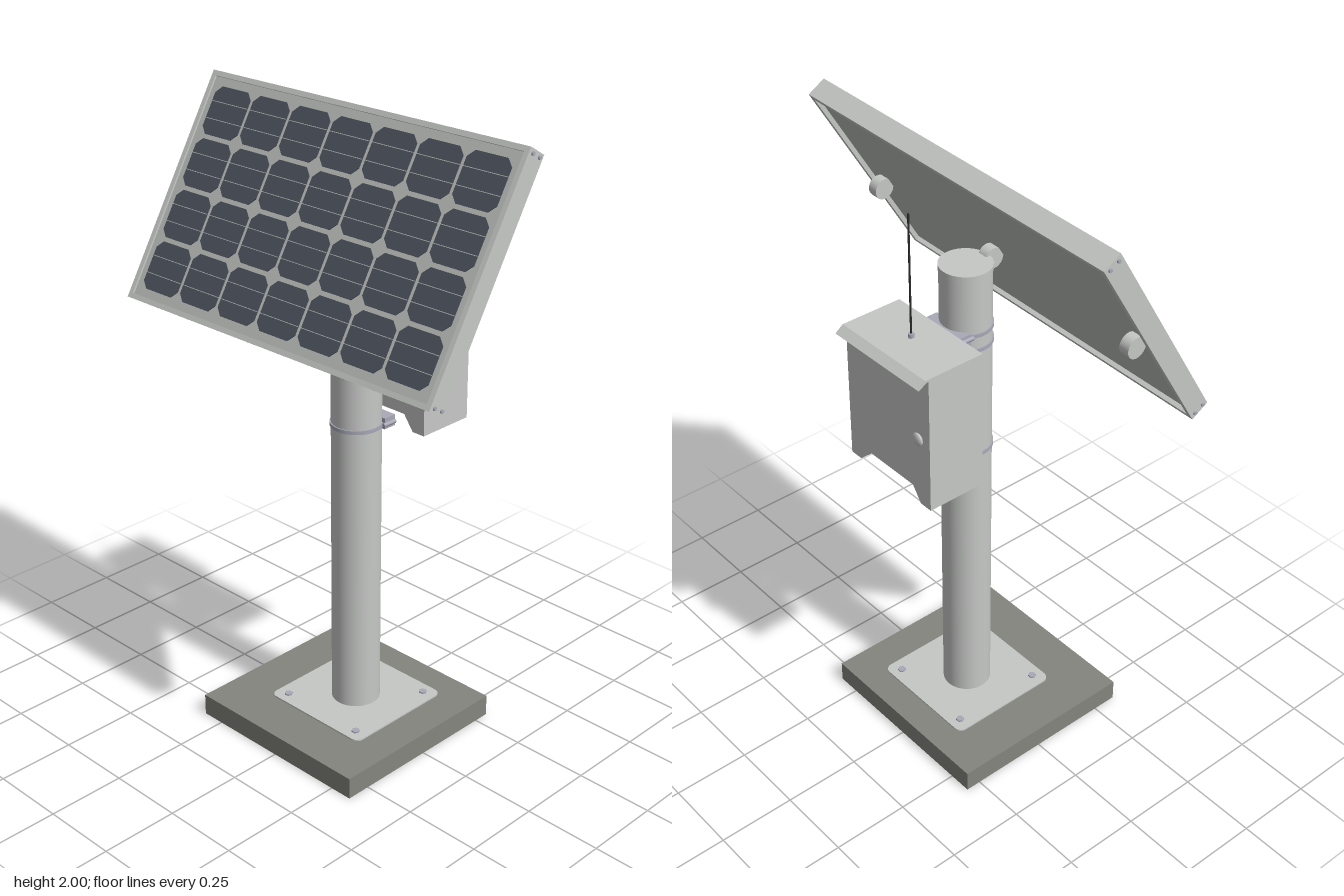
import * as THREE from 'three';

const mat = (name, color, side = THREE.FrontSide) => {
  const m = new THREE.MeshStandardMaterial({ color, side });
  m.name = name;
  return m;
};

export function createModel() {
  const model = new THREE.Group();
  model.name = 'solarMonitoringStation';

  const metal = mat('paleMetal', 0xc6c8c6);
  const sheet = mat('panelSheet', 0xbabdba);
  const concrete = mat('concrete', 0x83857d);
  const cellBlue = mat('solarCell', 0x4b515d);
  const steel = mat('clampSteel', 0xa9a9b8);
  const dark = mat('antennaBlack', 0x2c2c2e);

  const add = (parent, name, geo, material, x = 0, y = 0, z = 0) => {
    const m = new THREE.Mesh(geo, material);
    m.name = name;
    m.position.set(x, y, z);
    parent.add(m);
    return m;
  };
  const box = (parent, name, material, w, h, d, x, y, z) =>
    add(parent, name, new THREE.BoxGeometry(w, h, d), material, x, y, z);
  const cyl = (parent, name, material, r, h, x, y, z, sides = 32) =>
    add(parent, name, new THREE.CylinderGeometry(r, r, h, sides), material, x, y, z);
  // Flat shape drawn in x/z, thickened upwards
  const slab = (shape, depth) =>
    new THREE.ExtrudeGeometry(shape, { depth, bevelEnabled: false, curveSegments: 6 }).rotateX(-Math.PI / 2);

  const px = 0.013, pz = 0.018, poleR = 0.077;

  // Foundation and rounded foot plate with bolts
  box(model, 'foundation', concrete, 0.63, 0.07, 0.65, -0.015, 0.035, 0);
  const h = 0.193, r = 0.025, plate = new THREE.Shape();
  plate.absarc(h - r, h - r, r, 0, Math.PI / 2);
  plate.absarc(r - h, h - r, r, Math.PI / 2, Math.PI);
  plate.absarc(r - h, r - h, r, Math.PI, Math.PI * 1.5);
  plate.absarc(h - r, r - h, r, Math.PI * 1.5, Math.PI * 2);
  add(model, 'footPlate', slab(plate, 0.005), metal, px, 0.07, pz);
  for (const sx of [-1, 1]) for (const sz of [-1, 1])
    cyl(model, 'footBolt', steel, 0.013, 0.006, px + sx * 0.155, 0.077, pz + sz * 0.15, 6);

  // Pole and cap
  cyl(model, 'pole', metal, poleR, 1.57, px, 0.855, pz, 48);
  cyl(model, 'poleCap', metal, poleR + 0.002, 0.016, px, 1.644, pz, 48);

  // Clamp bands and the brackets that carry the cabinet
  for (const y of [1.035, 1.405, 1.455]) {
    cyl(model, 'clampBand', steel, poleR + 0.004, 0.012, px, y, pz, 48);
    for (const s of [-1, 1])
      cyl(model, 'clampBolt', steel, 0.007, 0.05, 0.075, y, pz + s * 0.076, 8).rotation.z = Math.PI / 2;
  }
  box(model, 'upperBracket', steel, 0.045, 0.08, 0.15, 0.08, 1.43, pz);
  box(model, 'lowerBracket', steel, 0.045, 0.035, 0.15, 0.08, 1.0375, pz);

  // Cabinet: end outline with a notched underside, extruded from back to door
  const cabinet = new THREE.Group();
  cabinet.name = 'cabinet';
  cabinet.position.set(0, 0, 0.025);
  model.add(cabinet);
  const outline = new THREE.Shape([
    [-0.185, 1.02], [-0.14, 1.02], [-0.105, 1.068], [0.105, 1.068],
    [0.14, 1.02], [0.185, 1.02], [0.185, 1.47], [-0.185, 1.47],
  ].map(([x, y]) => new THREE.Vector2(x, y)));
  const shell = new THREE.ExtrudeGeometry(outline, { depth: 0.193, bevelEnabled: false }).rotateY(Math.PI / 2);
  add(cabinet, 'cabinetShell', shell, metal, 0.102, 0, 0);

  // Rain hood with a sloping front lip
  const hood = new THREE.Shape([
    [0.102, 1.468], [0.302, 1.468], [0.329, 1.452], [0.333, 1.456], [0.306, 1.476], [0.102, 1.476],
  ].map(([x, y]) => new THREE.Vector2(x, y)));
  add(cabinet, 'rainHood', new THREE.ExtrudeGeometry(hood, { depth: 0.37, bevelEnabled: false }), metal, 0, 0, -0.185);

  // Door knob
  cyl(cabinet, 'knobStem', steel, 0.01, 0.012, 0.298, 1.255, -0.143, 16).rotation.z = Math.PI / 2;
  const knob = add(cabinet, 'doorKnob', new THREE.SphereGeometry(0.021, 20, 12), metal, 0.304, 1.255, -0.143);
  knob.scale.x = 0.4;

  // Antenna
  cyl(model, 'antennaBase', steel, 0.009, 0.014, 0.2, 1.482, 0.033, 12);
  cyl(model, 'antenna', dark, 0.003, 0.39, 0.2, 1.675, 0.033, 8);

  // Solar panel: local x runs up the slope, y out of the glass, z along the width
  const panel = new THREE.Group();
  panel.name = 'solarPanel';
  const az = new THREE.Vector3(-0.009, 0.011, 1).normalize();
  const ax = new THREE.Vector3(0.516, 0.856, 0);
  ax.addScaledVector(az, -ax.dot(az)).normalize();
  const ay = new THREE.Vector3().crossVectors(az, ax);
  panel.quaternion.setFromRotationMatrix(new THREE.Matrix4().makeBasis(ax, ay, az));
  panel.position.set(-0.1175, 1.663, 0.002);
  model.add(panel);

  const L = 0.73, W = 1.236, T = 0.064, lip = 0.016;
  for (const s of [-1, 1]) {
    box(panel, 'frameLongSide', metal, lip, T, W, s * (L - lip) / 2, 0, 0);
    box(panel, 'frameShortSide', metal, L - 2 * lip, T, lip, 0, 0, s * (W - lip) / 2);
    // Corner screws on the end faces
    for (const e of [-1, 1]) for (const y of [-0.016, 0.016])
      cyl(panel, 'frameScrew', steel, 0.006, 0.006, e * 0.352, y, s * (W / 2 + 0.002), 8).rotation.x = Math.PI / 2;
  }
  box(panel, 'backingSheet', sheet, L - 2 * lip, 0.044, W - 2 * lip, 0, 0.004, 0);

  // Cells with cut corners, each with two thin conductor strips
  const a = 0.0755, b = 0.078, c = 0.022;
  const cell = slab(new THREE.Shape([
    [-a + c, -b], [a - c, -b], [a, -b + c], [a, b - c], [a - c, b], [-a + c, b], [-a, b - c], [-a, -b + c],
  ].map(([x, y]) => new THREE.Vector2(x, y))), 0.002);
  for (let i = 0; i < 4; i++) for (let j = 0; j < 7; j++) {
    const x = (i - 1.5) * 0.165, z = (j - 3) * 0.1675;
    add(panel, 'solarCell', cell, cellBlue, x, 0.026, z);
    for (const s of [-1, 1])
      box(panel, 'conductorStrip', sheet, 0.002, 0.001, 2 * b, x + s * 0.027, 0.0283, z);
  }

  // Round mounting lugs behind the panel
  for (const z of [0.522, 0.016, -0.562])
    cyl(panel, 'mountingLug', metal, 0.033, 0.034, -0.002, -0.046, z, 20).rotation.x = Math.PI / 2;

  return model;
}
